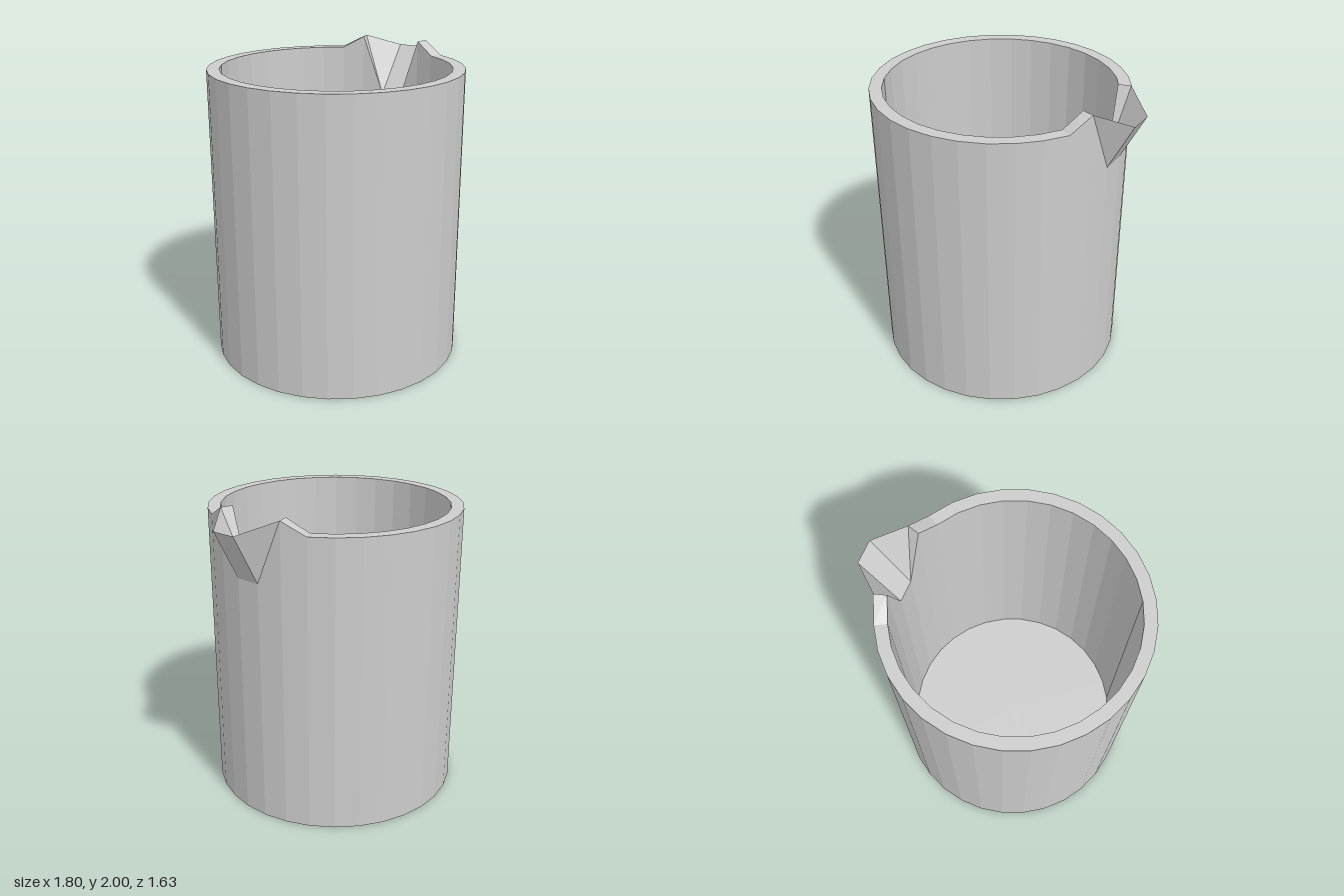
import * as THREE from 'three';

const SIDES = 32, OUTER = 0.817, INNER = 0.737;
const HEIGHT = 1.92, PEAK = 2, NOTCH = 1.6, FLOOR = 0.08, REACH = 0.166;

// Cross-section of the beaker wall at side k, from under the base, over the rim, to the inner floor
function section(k) {
  const a = (k * Math.PI * 2) / SIDES;
  const at = (r, y, push = 0) =>
    new THREE.Vector3(r * Math.cos(a) + push, y, r * Math.sin(a));
  const inSpout = k === 0 || k === -1;
  const besideSpout = k === 1 || k === -2;
  const top = inSpout ? NOTCH : besideSpout ? PEAK : HEIGHT;
  return [
    at(0, 0),
    at(OUTER, 0),
    at(OUTER, top),
    inSpout ? at(OUTER, HEIGHT, REACH) : at(OUTER, top), // pouring lip
    at(INNER, top),
    at(INNER, FLOOR),
    at(0, FLOOR),
  ];
}

// Flat-faced strips between neighbouring cross-sections
function strips(from, to) {
  const pos = [];
  const tri = (...pts) => {
    if (new THREE.Triangle(...pts).getArea() < 1e-6) return;
    pts.forEach((p) => pos.push(p.x, p.y, p.z));
  };
  for (let k = -SIDES / 2; k < SIDES / 2; k++) {
    const p = section(k), q = section(k + 1);
    for (let j = from; j < to; j++) {
      const a = p[j], b = p[j + 1], c = q[j + 1], d = q[j];
      if (k >= 0) { tri(a, b, d); tri(b, c, d); } // mirrored diagonals
      else { tri(a, b, c); tri(a, c, d); }
    }
  }
  const geo = new THREE.BufferGeometry();
  geo.setAttribute('position', new THREE.Float32BufferAttribute(pos, 3));
  geo.computeVertexNormals();
  return geo;
}

export function createModel() {
  const group = new THREE.Group();
  group.name = 'beaker';
  const grey = new THREE.MeshStandardMaterial({ color: 0xcccccc });
  grey.name = 'light grey';

  const add = (name, from, to) => {
    const mesh = new THREE.Mesh(strips(from, to), grey);
    mesh.name = name;
    mesh.position.x = -0.083;
    group.add(mesh);
  };
  add('base', 0, 1);
  add('outerWall', 1, 2);
  add('rimAndSpout', 2, 4);
  add('innerWall', 4, 5);
  add('innerFloor', 5, 6);
  return group;
}
